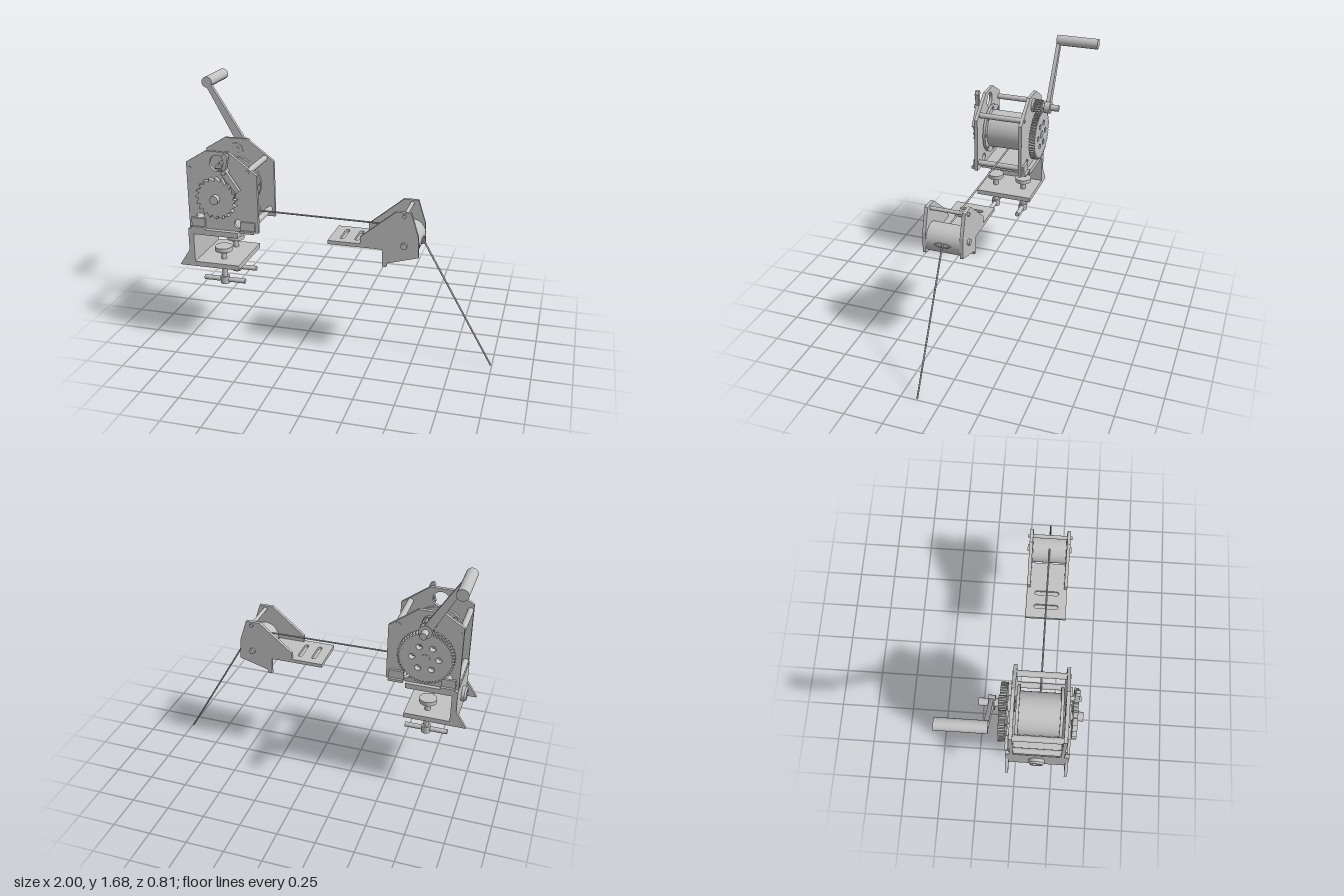
import * as THREE from 'three';

const steel = new THREE.MeshStandardMaterial({ color: 0xc2c2c2 });
steel.name = 'steel grey';

export function createModel() {
  const root = new THREE.Group();
  root.name = 'handWinch';
  const MID = 0.144; // z of the symmetry plane of winch and fairlead

  const add = (name, geo) => {
    const m = new THREE.Mesh(geo, steel);
    m.name = name;
    root.add(m);
    return m;
  };
  const box = (name, x0, x1, y0, y1, z0, z1) =>
    add(name, new THREE.BoxGeometry(x1 - x0, y1 - y0, z1 - z0))
      .position.set((x0 + x1) / 2, (y0 + y1) / 2, (z0 + z1) / 2);
  // round bar along z
  const rodZ = (name, x, y, r, z0, z1, seg = 28) => {
    const m = add(name, new THREE.CylinderGeometry(r, r, z1 - z0, seg));
    m.rotation.x = Math.PI / 2;
    m.position.set(x, y, (z0 + z1) / 2);
  };
  const rodY = (name, x, z, r, y0, y1) =>
    add(name, new THREE.CylinderGeometry(r, r, y1 - y0, 28)).position.set(x, (y0 + y1) / 2, z);
  const rodX = (name, y, z, r, x0, x1) => {
    const m = add(name, new THREE.CylinderGeometry(r, r, x1 - x0, 28));
    m.rotation.z = Math.PI / 2;
    m.position.set((x0 + x1) / 2, y, z);
  };
  const poly = (pts) => new THREE.Shape(pts.map(([x, y]) => new THREE.Vector2(x, y)));
  const hole = (shape, x, y, r) => shape.holes.push(new THREE.Path().absarc(x, y, r, 0, Math.PI * 2, true));
  const disc = (r) => new THREE.Shape().absarc(0, 0, r, 0, Math.PI * 2, false);
  const ringHoles = (shape, n, R, r) => {
    for (let i = 0; i < n; i++) {
      const a = (i / n) * Math.PI * 2;
      hole(shape, R * Math.cos(a), R * Math.sin(a), r);
    }
  };
  const plate = (name, shape, z0, z1, x = 0, y = 0) =>
    add(name, new THREE.ExtrudeGeometry(shape, { depth: z1 - z0, bevelEnabled: false, curveSegments: 32 }))
      .position.set(x, y, z0);
  // toothed outline; steps are [fraction of a pitch, radius]
  const toothed = (n, steps) => {
    const pts = [];
    for (let i = 0; i < n; i++) for (const [f, r] of steps) {
      const a = ((i + f) / n) * Math.PI * 2;
      pts.push([r * Math.cos(a), r * Math.sin(a)]);
    }
    return poly(pts);
  };
  const spur = (n, r, d) => toothed(n, [[0, r - d], [0.3, r - d], [0.42, r], [0.82, r]]);

  // Winch frame
  const DX = -0.722, DY = 1.035, PY = 1.245;
  const sideShape = (open) => {
    const s = poly([[-0.93, 0.81], [-0.47, 0.81], [-0.47, 1.185], [-0.65, 1.32], [-0.8, 1.32], [-0.93, 1.24]]);
    hole(s, -0.855, 0.88, 0.03);
    hole(s, -0.6, 0.86, 0.028);
    if (open) hole(s, DX, PY, 0.052);
    return s;
  };
  plate('frontSidePlate', sideShape(true), 0.29, 0.312);
  plate('backSidePlate', sideShape(false), -0.024, -0.002);
  for (const [x, y] of [[-0.91, 1.2], [-0.53, 1.203], [-0.505, 0.86], [-0.91, 0.835]]) {
    rodZ('spacerRod', x, y, 0.019, -0.002, 0.29);
    rodZ('spacerBolt', x, y, 0.013, -0.028, 0.316);
  }
  for (const [x0, x1] of [[-0.91, -0.82], [-0.585, -0.49]])
    for (const [a, b, c, d] of [[0.312, 0.327, 0.312, 0.343], [-0.039, -0.024, -0.055, -0.024]]) {
      box('footUpright', x0, x1, 0.81, 0.88, a, b);
      box('footLeaf', x0, x1, 0.81, 0.826, c, d);
    }

  // Drum with drilled flanges
  rodZ('drum', DX, DY, 0.13, 0.02, 0.268, 48);
  for (const z of [0.006, 0.264]) {
    const f = disc(0.168);
    ringHoles(f, 8, 0.149, 0.012);
    plate('drumFlange', f, z, z + 0.018, DX, DY);
  }
  rodZ('drumShaft', DX, DY, 0.028, -0.095, 0.402);
  rodZ('frontBearing', DX, DY, 0.07, 0.312, 0.328);
  rodZ('backBearing', DX, DY, 0.07, -0.04, -0.024);

  // Ratchet and pawl
  plate('ratchetWheel', toothed(20, [[0, 0.137], [0.12, 0.112], [0.55, 0.123]]), 0.338, 0.367, DX, DY);
  plate('pawl', poly([[-0.672, 1.31], [-0.66, 1.327], [-0.642, 1.325], [-0.632, 1.305], [-0.65, 1.22],
    [-0.565, 1.095], [-0.585, 1.078], [-0.68, 1.195], [-0.672, 1.225], [-0.66, 1.27]].reverse()), 0.34, 0.367);
  rodZ('pawlPivot', -0.66, 1.208, 0.014, 0.3, 0.378);

  // Gear train
  const gear = spur(52, 0.176, 0.015);
  ringHoles(gear, 6, 0.083, 0.019);
  plate('driveGear', gear, -0.092, -0.05, DX, DY);
  plate('pinion', spur(14, 0.045, 0.012), -0.094, -0.046, DX, PY);
  rodZ('pinionShaft', DX, PY, 0.022, -0.207, 0.004);
  rodZ('pinionBearing', DX, PY, 0.046, -0.04, 0.001);

  // Crank
  const HX = -0.955, HY = 1.645;
  const len = Math.hypot(HX - DX, HY - PY), nx = (HY - PY) / len, ny = -(HX - DX) / len;
  plate('crankArm', poly([[DX + nx * 0.03, PY + ny * 0.03], [HX + nx * 0.016, HY + ny * 0.016],
    [HX - nx * 0.016, HY - ny * 0.016], [DX - nx * 0.03, PY - ny * 0.03]]), -0.146, -0.12);
  rodZ('crankHub', DX, PY, 0.042, -0.152, -0.112);
  rodZ('crankGrip', HX, HY, 0.035, -0.404, -0.12, 36);

  // Clamp bracket
  const Z0 = -0.05, Z1 = 0.342;
  box('clampTop', -0.93, -0.6, 0.775, 0.81, Z0, Z1);
  box('clampWall', -0.93, -0.895, 0.588, 0.775, Z0, Z1);
  box('clampBase', -0.93, -0.6, 0.556, 0.588, Z0, Z1);
  for (const z of [Z0, Z1 - 0.02])
    plate('clampWing', poly([[-1, 0.556], [-0.93, 0.556], [-0.93, 0.665]]), z, z + 0.02);
  const boss = new THREE.LatheGeometry(
    [[0.026, 0], [0.05, 0], [0.05, 0.02], [0.04, 0.032], [0.026, 0.032], [0.026, 0]]
      .map(([r, y]) => new THREE.Vector2(r, y)), 32).toNonIndexed();
  boss.computeVertexNormals();
  const b = add('wallBoss', boss);
  b.rotation.z = Math.PI / 2;
  b.position.set(-0.93, 0.685, MID);
  rodX('wallBossBolt', 0.685, MID, 0.018, -0.955, -0.93);

  // Clamp screws
  for (const z of [MID - 0.104, MID + 0.104]) {
    rodY('screwPad', -0.735, z, 0.056, 0.646, 0.674);
    rodY('screwNeck', -0.735, z, 0.027, 0.628, 0.646);
    rodY('screwShaft', -0.735, z, 0.018, 0.44, 0.65);
    rodY('screwHub', -0.735, z, 0.03, 0.418, 0.466);
    rodX('screwTommyBar', 0.442, z, 0.016, -0.874, -0.597);
  }

  // Fairlead
  const RX = 0.443, RY = 0.81, RR = 0.09;
  const cheek = () => poly([[0.17, 0.775], [0.31, 0.77], [0.31, 0.66], [0.335, 0.66], [0.342, 0.685],
    [0.533, 0.74], [0.528, 0.875], [0.482, 1.022], [0.39, 1.022], [0.17, 0.84]]);
  plate('fairleadCheek', cheek(), 0.014, 0.035);
  plate('fairleadCheek', cheek(), 0.253, 0.274);
  // base with two blind slots
  const base = poly([[-0.035, -0.274], [0.345, -0.274], [0.345, -0.014], [-0.035, -0.014]]);
  for (const x of [0.042, 0.135]) {
    const s = new THREE.Path();
    s.absarc(x, -0.08, 0.014, 0, Math.PI, false);
    s.absarc(x, -0.208, 0.014, Math.PI, Math.PI * 2, false);
    base.holes.push(s);
  }
  const bm = add('fairleadBase', new THREE.ExtrudeGeometry(base, { depth: 0.016, bevelEnabled: false }));
  bm.rotation.x = -Math.PI / 2;
  bm.position.y = 0.78;
  box('fairleadBaseUnderside', -0.035, 0.345, 0.772, 0.78, 0.014, 0.274);
  rodZ('fairleadRoller', RX, RY, RR, 0.036, 0.252, 48);
  rodZ('rollerAxle', RX, RY, 0.02, 0.0, 0.288);
  rodZ('fairleadTopRod', RX, 1.0, 0.012, 0.002, 0.286);
  // flattened lip around the rope outlet
  const eye = add('ropeEye', new THREE.TorusGeometry(0.05, 0.005, 8, 32));
  eye.rotation.y = Math.PI / 2;
  eye.scale.y = 0.26;
  eye.position.set(RX + RR, RY, MID);

  // Rope from drum, through the roller, out of the eye to the load
  const v = (x, y) => new THREE.Vector3(x, y, MID);
  const path = new THREE.CurvePath();
  const stops = [v(DX, 0.9), v(0.41, 0.889), v(0.5, 0.845), v(0.535, 0.815), v(0.993, 0.003)];
  for (let i = 1; i < stops.length; i++) path.add(new THREE.LineCurve3(stops[i - 1], stops[i]));
  add('rope', new THREE.TubeGeometry(path, 160, 0.0055, 10));
  return root;
}
